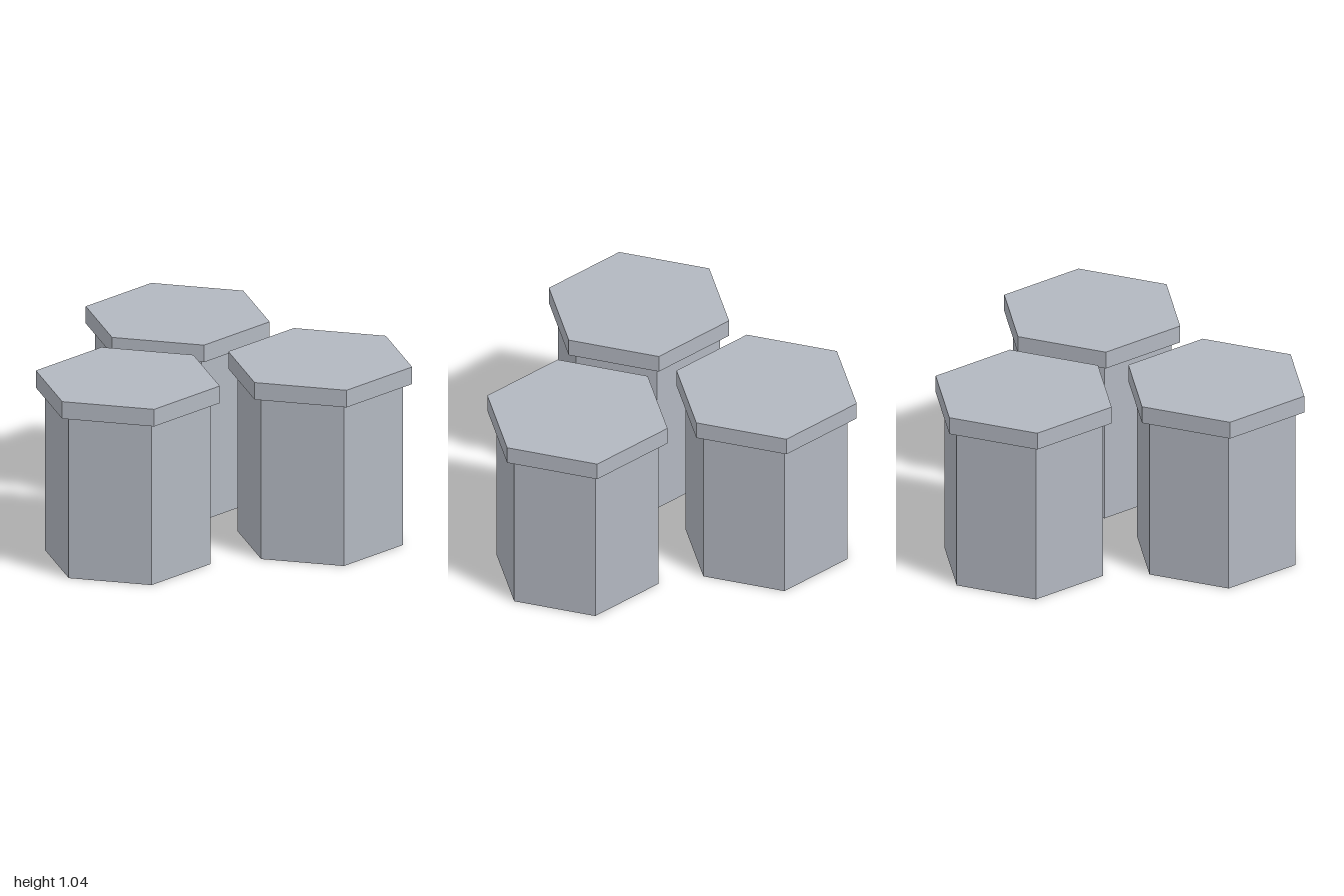
import * as THREE from 'three';

const CAP_RADIUS = 0.52, BODY_RADIUS = 0.468;
const BODY_HEIGHT = 0.945, CAP_HEIGHT = 0.1;

export function createModel() {
  const model = new THREE.Group();
  model.name = 'hexagonalPillars';

  const grey = new THREE.MeshStandardMaterial({ color: 0xb2b7c0, flatShading: true });
  grey.name = 'coolGrey';

  // Hexagonal prism with corners pointing along z, standing on the given height
  function hexPrism(name, radius, height, bottom) {
    const geometry = new THREE.CylinderGeometry(radius, radius, height, 6);
    const mesh = new THREE.Mesh(geometry, grey);
    mesh.name = name;
    mesh.position.y = bottom + height / 2;
    return mesh;
  }

  // Three capped pillars in a triangle: one at the back, two in front
  const places = [
    ['backPillar', 0, -0.457],
    ['leftPillar', 0.55, 0.457],
    ['rightPillar', -0.55, 0.457],
  ];
  for (const [name, x, z] of places) {
    const pillar = new THREE.Group();
    pillar.name = name;
    pillar.add(
      hexPrism('body', BODY_RADIUS, BODY_HEIGHT, 0),
      hexPrism('cap', CAP_RADIUS, CAP_HEIGHT, BODY_HEIGHT),
    );
    pillar.position.set(x, 0, z);
    model.add(pillar);
  }
  return model;
}
